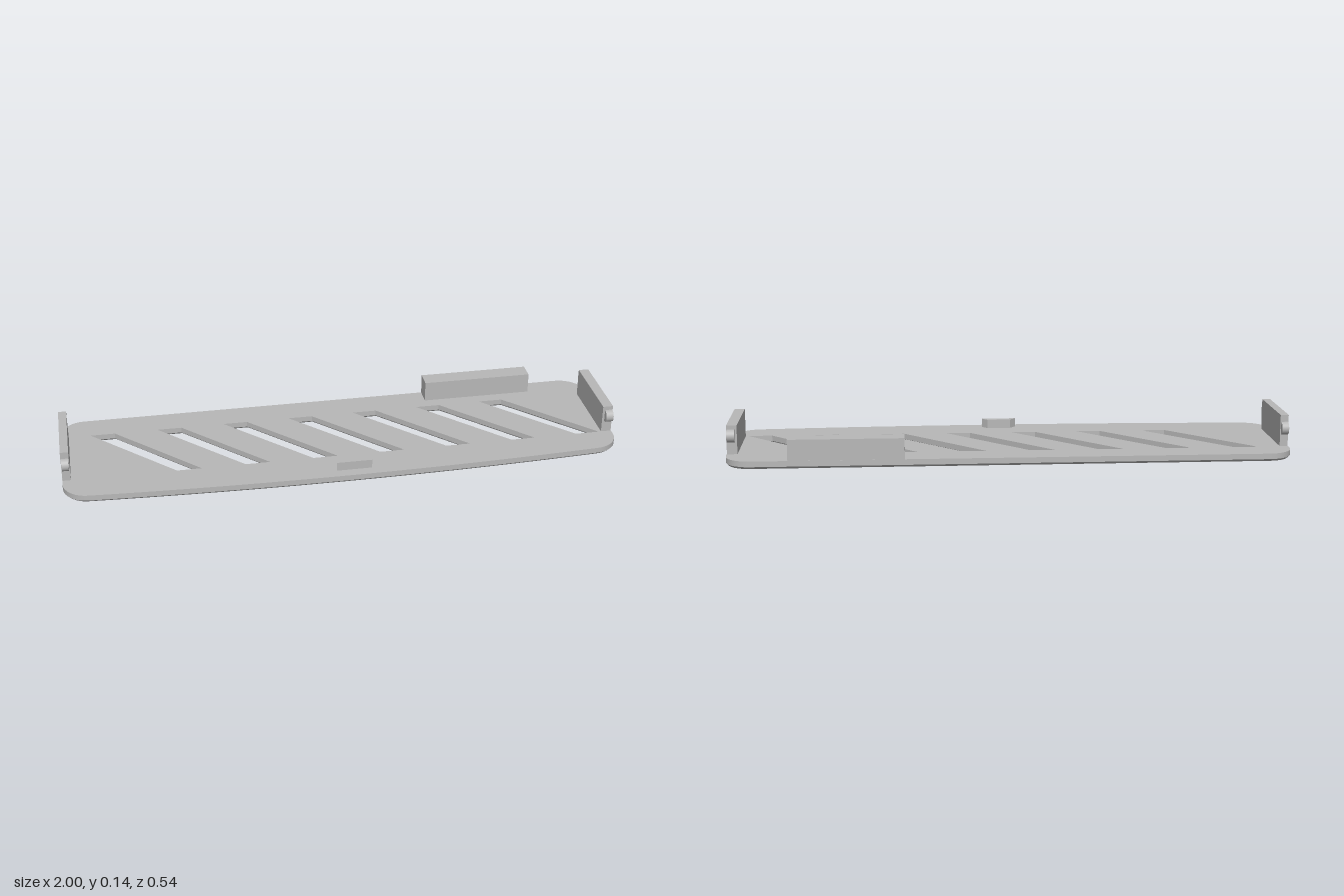
import * as THREE from 'three';
import { mergeGeometries, toCreasedNormals } from 'three/addons/utils/BufferGeometryUtils.js';

const TOP = 0.028, CHAMFER = 0.008;

// Plate outline in (x, -z), counter-clockwise, shrunk by d: bowed front, round corners
function outline(d) {
  const pts = [], r = 0.09, cx = 1 - r;
  for (let i = 0; i <= 24; i++) {
    const x = -cx + (2 * cx * i) / 24;
    pts.push(new THREE.Vector2(x, -(0.272 - 0.027 * (x / cx) ** 2 - d)));
  }
  const corner = (x, y, start) => {
    for (let i = 0; i <= 8; i++) {
      const a = start + (i / 8) * Math.PI / 2;
      pts.push(new THREE.Vector2(x + (r - d) * Math.cos(a), y + (r - d) * Math.sin(a)));
    }
  };
  corner(cx, -0.155, -Math.PI / 2);
  corner(cx, 0.272 - r, 0);
  corner(-cx, 0.272 - r, Math.PI / 2);
  corner(-cx, -0.155, Math.PI);
  return pts.filter((p, i) => p.distanceTo(pts[(i + 1) % pts.length]) > 1e-5);
}

// Slanted slot in (x, -z), clockwise, grown by d
function slot(x0, d) {
  const z0 = -0.163, z1 = 0.134, k = 0.977, w = 0.088, g = d * 1.4;
  const at = (x, z) => new THREE.Vector2(x0 + x + (z - z0) * k, -z);
  return [at(-g, z0 - d), at(w + g, z0 - d), at(w + g, z1 + d), at(-g, z1 + d)];
}

function loops(d) {
  const all = [outline(d)];
  for (let i = 0; i < 7; i++) all.push(slot(-0.89 + i * 0.2442, d));
  return all;
}

function cap(contours, y, up) {
  const flip = contours.map(c => c.map(p => new THREE.Vector2(p.x, up ? p.y : -p.y)));
  const shape = new THREE.Shape(flip[0]);
  shape.holes = flip.slice(1).map(h => new THREE.Path(h));
  const g = new THREE.ShapeGeometry(shape).toNonIndexed();
  g.deleteAttribute('uv');
  return g.rotateX(up ? -Math.PI / 2 : Math.PI / 2).translate(0, y, 0);
}

// Wall strip between a lower and an upper loop
function wall(low, y0, high, y1) {
  const pos = [];
  low.forEach((p, i) => {
    const j = (i + 1) % low.length;
    const a = [p.x, y0, -p.y], b = [low[j].x, y0, -low[j].y];
    const c = [high[j].x, y1, -high[j].y], d = [high[i].x, y1, -high[i].y];
    pos.push(...a, ...b, ...c, ...a, ...c, ...d);
  });
  const g = new THREE.BufferGeometry();
  g.setAttribute('position', new THREE.Float32BufferAttribute(pos, 3));
  g.computeVertexNormals();
  return g;
}

export function createModel() {
  const model = new THREE.Group();
  const grey = new THREE.MeshStandardMaterial({ color: 0xb8b8b8 });
  grey.name = 'grey plastic';
  const add = (name, geometry, parent = model) => {
    const mesh = new THREE.Mesh(geometry, grey);
    mesh.name = name;
    parent.add(mesh);
    return mesh;
  };
  const box = (x0, x1, y0, y1, z0, z1) =>
    new THREE.BoxGeometry(x1 - x0, y1 - y0, z1 - z0)
      .translate((x0 + x1) / 2, (y0 + y1) / 2, (z0 + z1) / 2);

  // Slotted plate, chamfered along every lower edge
  const full = loops(0), inset = loops(CHAMFER);
  const pieces = [cap(full, TOP, true), cap(inset, 0, false)];
  full.forEach((loop, i) => {
    pieces.push(wall(loop, CHAMFER, loop, TOP), wall(inset[i], 0, loop, CHAMFER));
  });
  add('slottedPlate', toCreasedNormals(mergeGeometries(pieces), 0.5));

  // End clips with a round snap bump at each end
  const clip = (name, x0, x1, height, b0, b1) => {
    const group = new THREE.Group();
    group.name = name;
    model.add(group);
    add('clipWall', box(x0, x1, TOP - 0.004, height, -0.157, 0.133), group);
    for (const z of [-0.157, 0.133]) {
      const bump = new THREE.CylinderGeometry(0.023, 0.023, b1 - b0, 24).rotateZ(Math.PI / 2);
      add('snapBump', bump.translate((b0 + b1) / 2, 0.094, z), group);
    }
  };
  clip('leftClip', 0.962, 0.999, 0.131, 0.97, 0.997);
  clip('rightClip', -0.999, -0.97, 0.142, -0.997, -0.973);

  // Rear block
  add('rearBlock', box(0.375, 0.78, TOP - 0.004, 0.103, -0.2715, -0.207));

  // Small front tab, tapering toward the back
  const tab = new THREE.Shape([
    new THREE.Vector2(-0.043, -0.234), new THREE.Vector2(0.083, -0.234),
    new THREE.Vector2(0.062, -0.21), new THREE.Vector2(-0.022, -0.21)]);
  add('frontTab', new THREE.ExtrudeGeometry(tab, { depth: 0.036, bevelEnabled: false })
    .rotateX(-Math.PI / 2).translate(0, 0.024, 0));

  return model;
}
